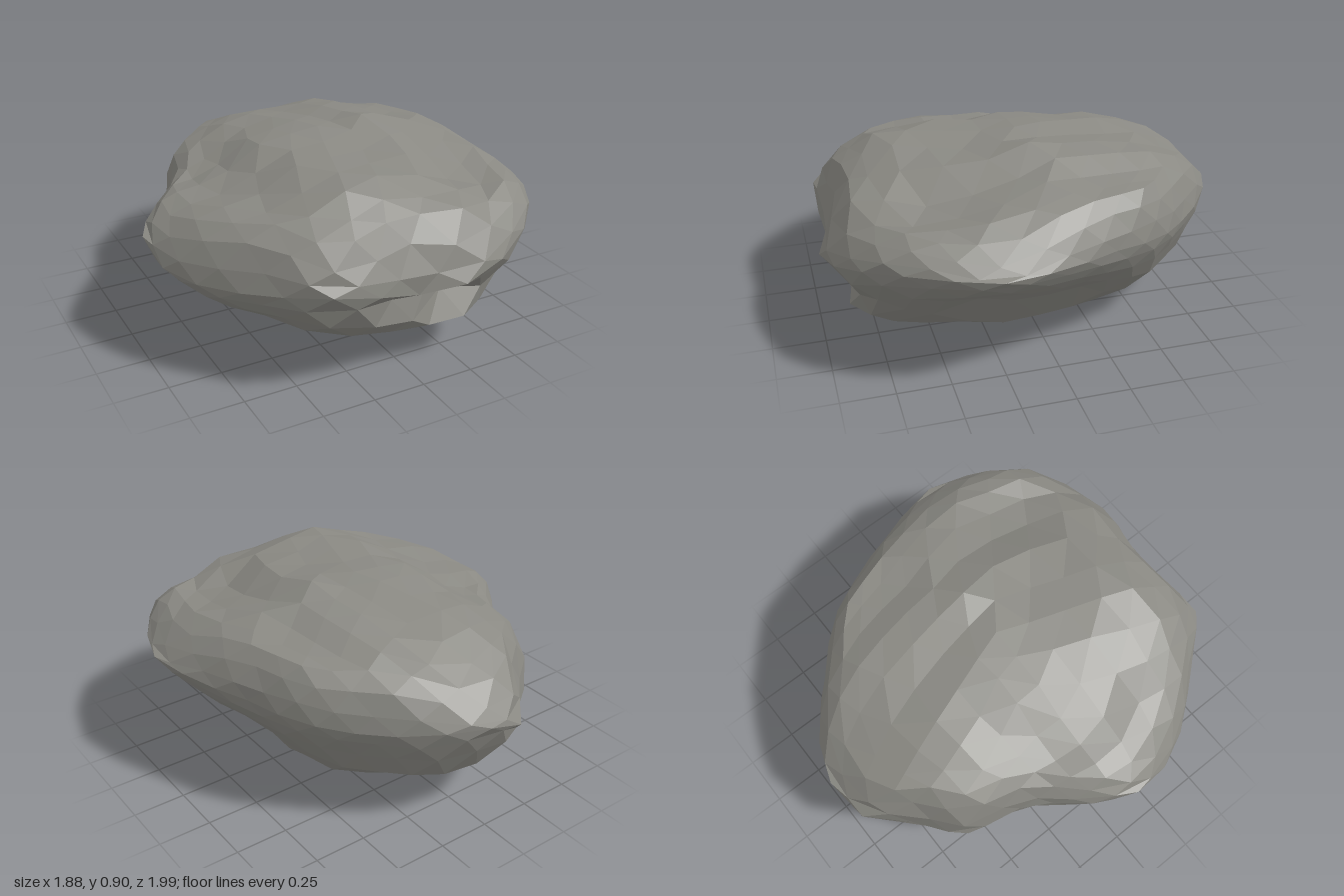
import * as THREE from 'three';

// Rim of the boulder: x, z and height, going once around
const rim = [
  [0.935, 0.32, 0.6], [0.82, 0.6, 0.61], [0.69, 0.79, 0.59], [0.46, 0.93, 0.51], [0.25, 1.0, 0.46],
  [0.02, 0.93, 0.42], [-0.2, 0.95, 0.47], [-0.45, 0.945, 0.53], [-0.62, 0.73, 0.48], [-0.79, 0.55, 0.47],
  [-0.87, 0.43, 0.47], [-0.935, 0.26, 0.49], [-0.94, 0.07, 0.57], [-0.88, -0.04, 0.53], [-0.7, -0.25, 0.48],
  [-0.62, -0.4, 0.46], [-0.57, -0.64, 0.4], [-0.37, -0.78, 0.36], [-0.2, -0.98, 0.46], [0.05, -1.0, 0.55],
  [0.28, -0.87, 0.53], [0.45, -0.71, 0.52], [0.64, -0.52, 0.55], [0.76, -0.26, 0.58], [0.86, 0, 0.59],
].map(([x, z, y]) => [Math.atan2(z, x), Math.hypot(x, z), y]).sort((a, b) => a[0] - b[0]);

// Height profiles of the top and the underside, across (x) and lengthwise (z)
const topX = [[-0.94, 0.61], [-0.72, 0.72], [-0.48, 0.77], [-0.28, 0.87], [-0.04, 0.89], [0.07, 0.87],
  [0.27, 0.91], [0.46, 0.83], [0.67, 0.81], [0.83, 0.71], [0.93, 0.6]];
const topZ = [[-1, 0.55], [-0.88, 0.68], [-0.67, 0.78], [-0.5, 0.84], [0, 0.91], [0.14, 0.88], [0.33, 0.89],
  [0.65, 0.87], [0.84, 0.75], [1, 0.56]];
const baseX = [[-0.94, 0.48], [-0.83, 0.36], [-0.57, 0.27], [-0.49, 0.2], [-0.2, 0.06], [0.03, 0], [0.28, 0],
  [0.47, 0.1], [0.6, 0.31], [0.7, 0.4], [0.93, 0.52]];
const baseZ = [[-1, 0.5], [-0.96, 0.38], [-0.84, 0.22], [-0.65, 0.16], [-0.44, 0.11], [-0.25, 0.03], [0.05, 0],
  [0.37, 0.02], [0.65, 0.08], [0.91, 0.23], [1, 0.45]];

// Shallow hollows worn into the top: x, z, radius, depth
const hollows = [[0.44, 0.53, 0.28, 0.11], [-0.6, -0.13, 0.26, 0.05]];

function sample(table, t, column = 1) {
  if (t <= table[0][0]) return table[0][column];
  for (let i = 1; i < table.length; i++) {
    const a = table[i - 1], b = table[i];
    if (t <= b[0]) return THREE.MathUtils.lerp(a[column], b[column], (t - a[0]) / (b[0] - a[0]));
  }
  return table[table.length - 1][column];
}

// Close the rim so that angles wrap around
const first = rim[0], last = rim[rim.length - 1];
const loop = [[last[0] - 2 * Math.PI, last[1], last[2]], ...rim, [first[0] + 2 * Math.PI, first[1], first[2]]];

// Moves a point of the unit sphere onto the boulder
function shape(d) {
  const angle = Math.abs(d.x) + Math.abs(d.z) < 1e-3 ? 0 : Math.atan2(d.z, d.x);
  const reach = Math.hypot(d.x, d.z) * sample(loop, angle);
  const edge = sample(loop, angle, 2);
  const x = reach * Math.cos(angle), z = reach * Math.sin(angle);
  const mid = 0.55;
  let target;
  if (d.y > 0) {
    target = mid + (sample(topX, x) - mid) * (sample(topZ, z) - mid) / 0.35;
    for (const [hx, hz, radius, depth] of hollows) {
      target -= depth * Math.exp(-((x - hx) ** 2 + (z - hz) ** 2) / radius ** 2);
    }
    target = Math.max(edge, target);
  } else {
    // The keel drifts towards -x at the back
    const keel = x + 0.25 * THREE.MathUtils.smoothstep(-z, 0.4, 0.9);
    target = Math.min(edge, mid - (mid - sample(baseX, keel)) * (mid - sample(baseZ, z)) / mid);
  }
  let y = THREE.MathUtils.lerp(edge, target, Math.min(1, Math.abs(d.y) * 2.3));
  // Small chips on the faces
  y += 0.012 * Math.sin(9 * d.x + 5 * d.z) * Math.sin(11 * d.z - 4 * d.x + 1) * Math.abs(d.y);
  // Notch between the front overhang and the ledge below it
  const notch = z > 0.5 && d.y < 0
    ? 0.17 * Math.exp(-(((x - 0.15) / 0.3) ** 2) - ((y - 0.36) / 0.06) ** 2) : 0;
  d.set(x, Math.max(0, y), z - notch);
}

export function createModel() {
  const group = new THREE.Group();
  group.name = 'boulder';
  const stone = new THREE.MeshStandardMaterial({ color: 0x8a8983, flatShading: true });
  stone.name = 'stone grey';

  // Turned corner up, so that one row of corners lies on the rim
  const geometry = new THREE.IcosahedronGeometry(1, 5);
  geometry.rotateZ(Math.atan(2 / (1 + Math.sqrt(5))));
  const position = geometry.attributes.position;
  const d = new THREE.Vector3();
  for (let i = 0; i < position.count; i++) {
    d.fromBufferAttribute(position, i);
    // Rounding keeps shared corners together
    d.set(...d.toArray().map((v) => Math.round(v * 1e4) / 1e4 + 0));
    shape(d);
    position.setXYZ(i, d.x, d.y, d.z);
  }
  geometry.computeVertexNormals();

  const rock = new THREE.Mesh(geometry, stone);
  rock.name = 'rock';
  group.add(rock);
  return group;
}
